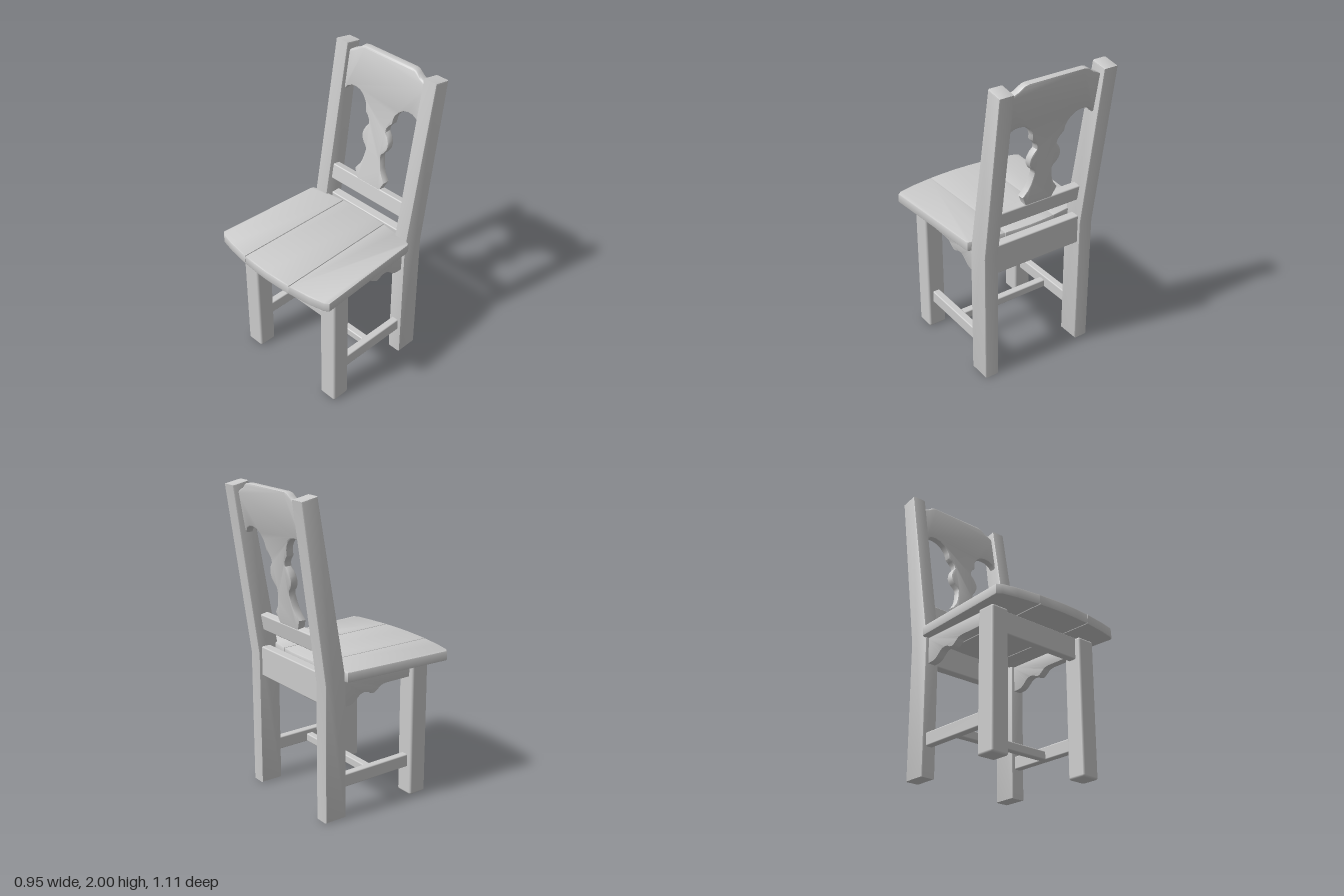
import * as THREE from 'three';
import { toCreasedNormals } from 'three/addons/utils/BufferGeometryUtils.js';
import { RoundedBoxGeometry } from 'three/addons/geometries/RoundedBoxGeometry.js';

const material = new THREE.MeshStandardMaterial({ color: 0xcccccc });
const LEAN = 0.175; // backward run of the back per unit of height

// Bevelled board of a given thickness, centred on its own plane
function board(shape, thickness, bevel, curveSegments = 6) {
  const geo = new THREE.ExtrudeGeometry(shape, {
    depth: thickness - 2 * bevel, bevelThickness: bevel, bevelSize: bevel,
    bevelOffset: -bevel, bevelSegments: 2, curveSegments,
  });
  return geo.translate(0, 0, bevel - thickness / 2);
}

const polygon = (points) => new THREE.Shape(points.map(([x, y]) => new THREE.Vector2(x, y)));
const smooth = (geo) => toCreasedNormals(geo, 0.7);

export function createModel() {
  const chair = new THREE.Group();
  chair.name = 'chair';

  function add(name, geo, x = 0, y = 0, z = 0) {
    const mesh = new THREE.Mesh(geo, material);
    mesh.name = name;
    mesh.position.set(x, y, z);
    chair.add(mesh);
    return mesh;
  }

  // Rounded bar given by its extents on each axis
  function bar(name, [x0, x1], [y0, y1], [z0, z1], radius = 0.008) {
    return add(name, new RoundedBoxGeometry(x1 - x0, y1 - y0, z1 - z0, 2, radius),
      (x0 + x1) / 2, (y0 + y1) / 2, (z0 + z1) / 2);
  }

  // Back post outline, bent at seat height (z, y)
  const postShape = polygon([
    [-0.40, 0], [-0.25, 0], [-0.25, 0.89], [-0.445, 1.995], [-0.555, 1.975], [-0.40, 0.89],
  ]);

  // Side apron outline with a scalloped lower edge (z, y)
  const apronShape = polygon([[-0.27, 0.715], [-0.24, 0.715]]);
  apronShape.splineThru([
    [-0.20, 0.718], [-0.17, 0.732], [-0.13, 0.765], [-0.10, 0.775], [-0.07, 0.772],
    [-0.045, 0.760], [-0.02, 0.757], [0.01, 0.775], [0.035, 0.793], [0.07, 0.80],
  ].map(([z, y]) => new THREE.Vector2(z, y)));
  apronShape.lineTo(0.27, 0.80);
  apronShape.lineTo(0.27, 0.89);
  apronShape.lineTo(-0.27, 0.89);

  // Legs, posts and the parts joining them front to back
  for (const [side, s] of [['left', 1], ['right', -1]]) {
    add(side + 'BackPost', smooth(board(postShape, 0.099, 0.01).rotateY(-Math.PI / 2)), s * 0.3555);
    add(side + 'FrontLeg', new RoundedBoxGeometry(0.125, 0.885, 0.125, 2, 0.015), s * 0.3525, 0.4425, 0.3175);
    add(side + 'Apron', smooth(board(apronShape, 0.055, 0.005, 20).rotateY(-Math.PI / 2)), s * 0.355);
    add(side + 'Stretcher', new RoundedBoxGeometry(0.05, 0.085, 0.54, 2, 0.008), s * 0.355, 0.232, 0);
  }

  // Cross pieces
  bar('crossStretcher', [-0.36, 0.36], [0.19, 0.245], [-0.025, 0.025]);
  bar('frontApron', [-0.31, 0.31], [0.745, 0.89], [0.29, 0.345]);
  bar('backApron', [-0.32, 0.32], [0.745, 0.94], [-0.38, -0.315]);
  add('lowerBackRail', new RoundedBoxGeometry(0.64, 0.108, 0.055, 2, 0.008), 0, 1.103, -0.346)
    .rotation.x = -Math.atan(LEAN);

  // Seat of three planks (x, z)
  const sidePlank = [
    [0.182, -0.295], [0.30, -0.28], [0.415, -0.262], [0.428, -0.255], [0.434, -0.235],
    [0.477, 0.48], [0.447, 0.502], [0.35, 0.524], [0.197, 0.545],
  ];
  const middlePlank = [
    [-0.18, -0.295], [-0.09, -0.303], [0, -0.306], [0.09, -0.303], [0.18, -0.295],
    [0.195, 0.545], [0.10, 0.552], [0, 0.555], [-0.10, 0.552], [-0.195, 0.545],
  ];
  const planks = {
    leftPlank: sidePlank,
    middlePlank,
    rightPlank: sidePlank.map(([x, z]) => [-x, z]),
  };
  for (const [name, points] of Object.entries(planks)) {
    const shape = polygon(points.map(([x, z]) => [x, -z]));
    add(name, smooth(board(shape, 0.065, 0.008).rotateX(-Math.PI / 2)), 0, 0.917, 0);
  }

  // Crest and vase-shaped splat cut as one board, half outline from crest to foot (x, y)
  const half = [
    [0.19, 2.0], [0.215, 1.995], [0.235, 1.98], [0.255, 1.965], [0.28, 1.955], [0.325, 1.93],
    [0.325, 1.65], [0.308, 1.68], [0.285, 1.71], [0.25, 1.727], [0.217, 1.73], [0.18, 1.722],
    [0.148, 1.70], [0.125, 1.67], [0.116, 1.645], [0.112, 1.61], [0.092, 1.59], [0.074, 1.565],
    [0.072, 1.54], [0.092, 1.515], [0.106, 1.485], [0.110, 1.46], [0.106, 1.435], [0.092, 1.41],
    [0.068, 1.385], [0.063, 1.365], [0.070, 1.33], [0.078, 1.295], [0.095, 1.255],
    [0.127, 1.212], [0.10, 1.155], [0.10, 1.13],
  ];
  const mirrored = half.map(([x, y]) => [-x, y]).reverse();
  const splat = board(polygon([...half, ...mirrored]), 0.052, 0.01);
  const p = splat.attributes.position;
  for (let i = 0; i < p.count; i++) {
    p.setZ(i, p.getZ(i) - 0.362 - LEAN * (p.getY(i) - 1.2));
  }
  add('backSplat', smooth(splat));

  return chair;
}
